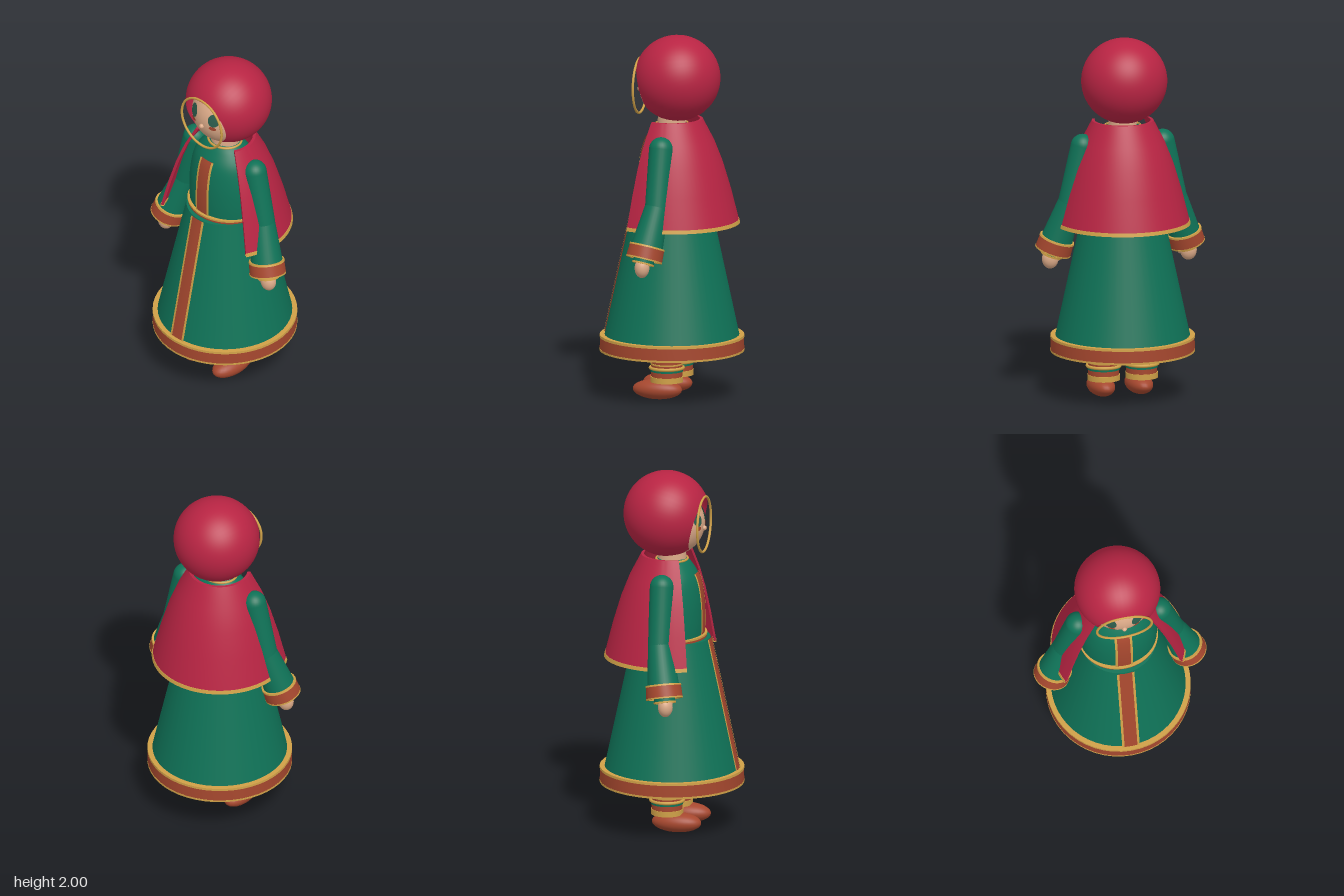
import * as THREE from 'three';
import { toCreasedNormals } from 'three/addons/utils/BufferGeometryUtils.js';

const V2 = (x, y) => new THREE.Vector2(x, y);
const V3 = (x, y, z) => new THREE.Vector3(x, y, z);
const rad = THREE.MathUtils.degToRad;

function material(name, color, side = THREE.FrontSide) {
  const m = new THREE.MeshStandardMaterial({ color, side });
  m.name = name;
  return m;
}

// Radius of a rising profile at height y
function radiusAt(profile, y) {
  for (let i = 1; i < profile.length; i++) {
    const a = profile[i - 1], b = profile[i];
    if (y <= b.y) return THREE.MathUtils.mapLinear(y, a.y, b.y, a.x, b.x);
  }
  return profile[profile.length - 1].x;
}

// Closed ring with a rectangular section
function bandGeometry(r0, r1, y0, y1, thick, start = 0, length = Math.PI * 2) {
  const p = [V2(r0, y0), V2(r1, y1), V2(r1 - thick, y1), V2(r0 - thick, y0), V2(r0, y0)];
  return toCreasedNormals(new THREE.LatheGeometry(p, 48, start, length), 0.6);
}

export function createModel() {
  const D = THREE.DoubleSide;
  const crimson = material('crimson cloth', 0xb82443, D);
  const green = material('green cloth', 0x0f7257, D);
  const rust = material('rust trim', 0xa5472e, D);
  const gold = material('gold braid', 0xcfa047, D);
  const skin = material('skin', 0xdcaa88);
  const eyeGreen = material('dark green eye', 0x2c5b4b, D);

  const model = new THREE.Group();
  model.name = 'robedDoll';
  const add = (name, geo, mat, parent = model) => {
    const mesh = new THREE.Mesh(geo, mat);
    mesh.name = name;
    parent.add(mesh);
    return mesh;
  };
  const ellipsoid = (name, mat, c, r, parent) => {
    const m = add(name, new THREE.SphereGeometry(1, 28, 20), mat, parent);
    m.position.copy(c);
    m.scale.copy(r);
    return m;
  };

  // Skirt, open underneath, with a braided hem
  const skirt = [V2(0.384, 0.265), V2(0.21, 1.075)];
  add('skirt', new THREE.LatheGeometry(skirt, 48), green);
  const lid = add('skirtTop', new THREE.CircleGeometry(0.21, 48), green);
  lid.rotation.x = -Math.PI / 2;
  lid.position.y = 1.075;
  add('hemBand', bandGeometry(0.394, 0.392, 0.265, 0.335, 0.02), rust);
  add('hemLowerBraid', bandGeometry(0.395, 0.395, 0.257, 0.268, 0.018), gold);
  add('hemUpperBraid', bandGeometry(0.395, 0.394, 0.332, 0.345, 0.03), gold);

  // Bodice, slightly flattened front to back
  const flat = 0.82;
  const bodice = new THREE.SplineCurve([
    V2(0.208, 1.07), V2(0.212, 1.18), V2(0.205, 1.3), V2(0.18, 1.41), V2(0.13, 1.485), V2(0.09, 1.52),
  ]).getPoints(30);
  add('bodice', new THREE.LatheGeometry(bodice, 48), green).scale.z = flat;
  add('belt', bandGeometry(0.214, 0.214, 1.076, 1.09, 0.02), rust).scale.z = 0.88;
  add('beltBraid', bandGeometry(0.217, 0.217, 1.088, 1.098, 0.02), gold).scale.z = 0.88;

  // Front panel strips that follow the cloth
  const strip = (name, x0, w, y0, y1, profile, depth, lift, mat) => {
    const geo = new THREE.PlaneGeometry(w, y1 - y0, 4, 24).translate(x0, (y0 + y1) / 2, 0);
    const p = geo.attributes.position;
    for (let i = 0; i < p.count; i++) {
      const r = radiusAt(profile, p.getY(i));
      p.setZ(i, depth * Math.sqrt(r * r - p.getX(i) ** 2) + lift);
    }
    geo.computeVertexNormals();
    add(name, geo, mat);
  };
  for (const [part, y0, y1, profile, depth] of [
    ['chest', 1.1, 1.44, bodice, flat], ['skirt', 0.345, 1.075, skirt, 1],
  ]) {
    strip(part + 'Panel', 0, 0.084, y0, y1, profile, depth, 0.006, rust);
    for (const s of [1, -1]) strip(part + 'PanelBraid', s * 0.042, 0.013, y0, y1, profile, depth, 0.009, gold);
  }

  // Neck and collar
  add('neck', new THREE.CylinderGeometry(0.075, 0.08, 0.14, 24).translate(0, 1.54, 0), skin);
  add('collarBraid', new THREE.TorusGeometry(0.095, 0.007, 8, 40).rotateX(Math.PI / 2)
    .scale(1, 1, 0.9).translate(0, 1.512, 0), gold);

  // Hood with a round face opening
  const hood = new THREE.SphereGeometry(0.235, 48, 32, 0, Math.PI * 2, rad(39), rad(141));
  add('hood', hood.rotateX(Math.PI / 2 + rad(15)).translate(0, 1.765, -0.03), crimson);
  const faceR = 0.178, faceY = 1.715;
  ellipsoid('face', skin, V3(0, faceY, 0.002), V3(faceR, faceR, faceR));
  add('faceRing', new THREE.TorusGeometry(0.152, 0.007, 8, 48).translate(0, faceY, 0.18), gold);
  ellipsoid('nose', skin, V3(0, 1.695, 0.181), V3(0.014, 0.014, 0.014));

  // Painted eyes and cheeks, wrapped on to the face
  const patch = (name, x, y, rx, ry, lift, mat) => {
    const geo = new THREE.CircleGeometry(1, 24).scale(rx, ry, 1).translate(x, y, 0);
    const p = geo.attributes.position, R = faceR + lift;
    for (let i = 0; i < p.count; i++) {
      p.setZ(i, 0.002 + Math.sqrt(R * R - p.getX(i) ** 2 - (p.getY(i) - faceY) ** 2));
    }
    geo.computeVertexNormals();
    add(name, geo, mat);
  };
  for (const s of [1, -1]) {
    patch('eye', s * 0.073, 1.757, 0.031, 0.038, 0.005, eyeGreen);
    patch('cheek', s * 0.07, 1.706, 0.02, 0.012, 0.004, rust);
  }

  // Cape, a thick shell open at the front
  const start = rad(63), sweep = Math.PI * 2 - 2 * start;
  const outer = [V2(0.367, 0.972), V2(0.322, 1.15), V2(0.277, 1.3), V2(0.23, 1.42), V2(0.168, 1.54)];
  const inner = outer.map((p) => V2(p.x - 0.016, p.y)).reverse();
  const loop = [...outer, ...inner, outer[0].clone()];
  add('cape', toCreasedNormals(new THREE.LatheGeometry(loop, 48, start, sweep), 0.7), crimson);
  for (const a of [start, start + sweep]) {
    const cap = new THREE.ShapeGeometry(new THREE.Shape([...outer, ...inner]));
    add('capeFrontEdge', cap.rotateY(a - Math.PI / 2), crimson);
  }
  add('capeBraid', bandGeometry(0.371, 0.366, 0.965, 0.985, 0.022, start, sweep), gold);

  for (const s of [1, -1]) {
    const side = s > 0 ? 'left' : 'right';

    // Arm: upper sleeve, flared lower sleeve, cuff and hand
    const arm = new THREE.Group();
    arm.name = side + 'Arm';
    model.add(arm);
    const shoulder = V3(s * 0.228, 1.41, 0), elbow = V3(s * 0.298, 1.1, 0.005), wrist = V3(s * 0.374, 0.845, 0.05);
    const up = V3(0, 1, 0);
    const along = (name, from, to) => {
      const g = new THREE.Group();
      g.name = name;
      g.position.copy(to);
      g.quaternion.setFromUnitVectors(up, from.clone().sub(to).normalize());
      arm.add(g);
      return [g, from.distanceTo(to)];
    };
    const [upper, upperL] = along('upperSleeve', shoulder, elbow);
    add('upperSleeveCloth', new THREE.CylinderGeometry(0.065, 0.065, upperL, 28, 1, true)
      .translate(0, upperL / 2, 0), green, upper);
    ellipsoid('shoulder', green, shoulder, V3(0.065, 0.065, 0.065), arm);
    ellipsoid('elbow', green, elbow, V3(0.065, 0.065, 0.065), arm);
    const [lower, lowerL] = along('lowerSleeve', elbow, wrist);
    add('lowerSleeveCloth', new THREE.CylinderGeometry(0.065, 0.092, lowerL, 32, 1, true)
      .translate(0, lowerL / 2, 0), green, lower);
    add('cuff', bandGeometry(0.1, 0.096, -0.02, 0.045, 0.014), rust, lower);
    add('cuffUpperBraid', bandGeometry(0.099, 0.097, 0.043, 0.053, 0.014), gold, lower);
    add('cuffLowerBraid', bandGeometry(0.101, 0.101, -0.026, -0.018, 0.014), gold, lower);
    add('innerSleeve', new THREE.CylinderGeometry(0.055, 0.058, 0.13, 24).translate(0, 0.02, 0), green, lower);
    add('innerSleeveBraid', bandGeometry(0.061, 0.061, -0.05, -0.04, 0.01), gold, lower);
    ellipsoid('hand', skin, V3(s * 0.393, 0.778, 0.062), V3(0.046, 0.055, 0.04), arm);
    ellipsoid('thumb', skin, V3(s * 0.35, 0.79, 0.072), V3(0.02, 0.032, 0.02), arm);

    // Leg with braided bands, and a rounded shoe
    const leg = new THREE.Group();
    leg.name = side + 'Leg';
    leg.position.x = s * 0.108;
    model.add(leg);
    add('legging', new THREE.CylinderGeometry(0.085, 0.085, 0.8, 28).translate(0, 0.5, 0), rust, leg);
    add('kneeBraid', bandGeometry(0.09, 0.09, 0.262, 0.29, 0.01), gold, leg);
    add('calfBraid', bandGeometry(0.088, 0.088, 0.196, 0.204, 0.01), gold, leg);
    add('ankleRing', new THREE.TorusGeometry(0.09, 0.009, 8, 36).rotateX(Math.PI / 2)
      .translate(0, 0.178, 0), gold, leg);
    add('ankleGreenBand', bandGeometry(0.088, 0.088, 0.158, 0.168, 0.01), green, leg);
    add('ankleBraid', bandGeometry(0.089, 0.089, 0.1, 0.13, 0.012), gold, leg);
    ellipsoid('shoe', rust, V3(0, 0.055, 0.053), V3(0.071, 0.055, 0.138), leg);
  }
  return model;
}
